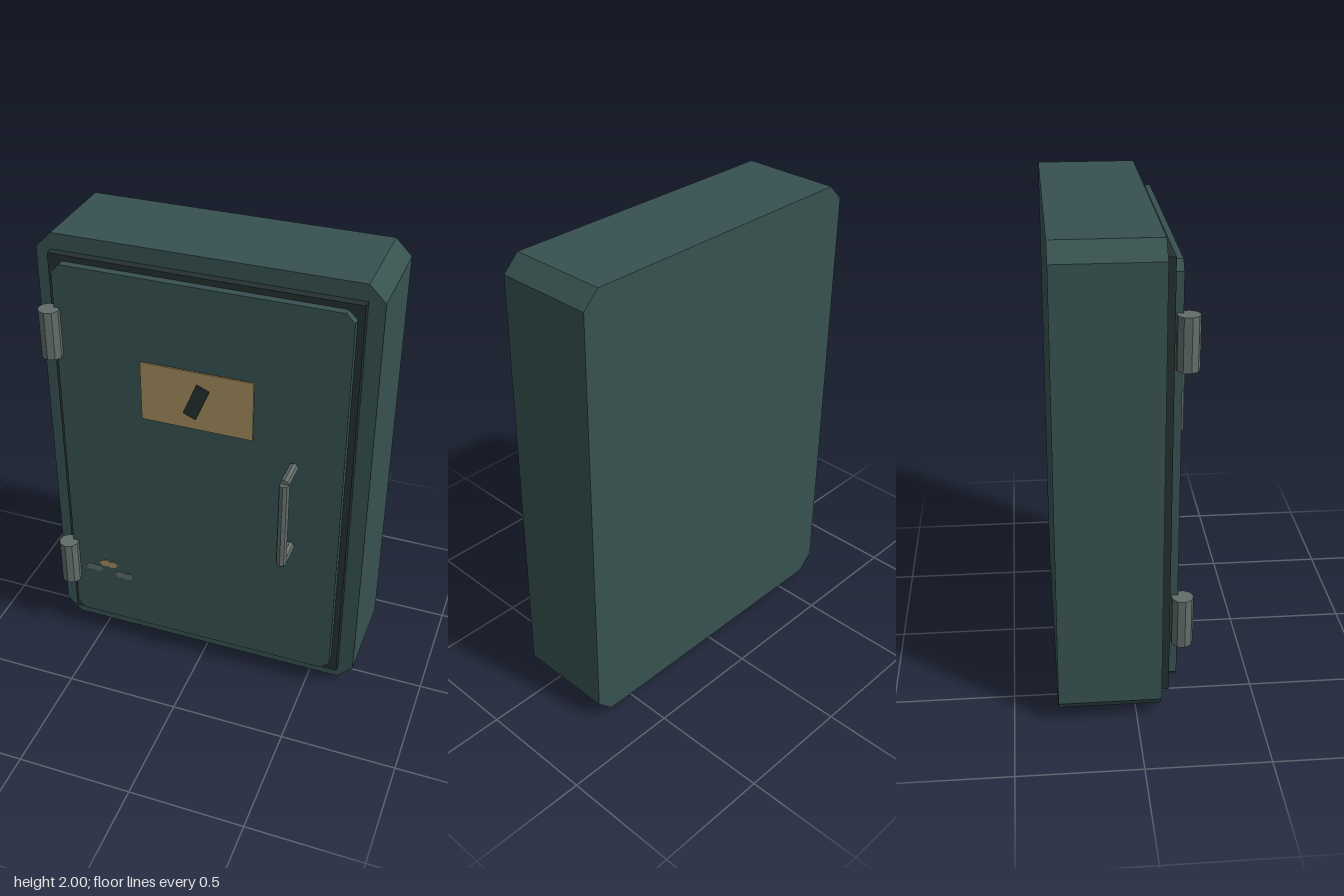
import * as THREE from 'three';

const mat = (name, color) => {
  const m = new THREE.MeshStandardMaterial({ color });
  m.name = name;
  m.flatShading = true;
  return m;
};

// Rectangle with cut corners, extruded from z0 to z1
function chamferedSlab(x, y0, y1, cut, z0, z1) {
  const shape = new THREE.Shape([
    [-x + cut, y0], [x - cut, y0], [x, y0 + cut], [x, y1 - cut],
    [x - cut, y1], [-x + cut, y1], [-x, y1 - cut], [-x, y0 + cut],
  ].map(p => new THREE.Vector2(...p)));
  return new THREE.ExtrudeGeometry(shape, { depth: z1 - z0, bevelEnabled: false }).translate(0, 0, z0);
}

export function createModel() {
  const group = new THREE.Group();
  const paint = mat('tealPaint', 0x375250);
  const dark = mat('darkRubber', 0x243030);
  const steel = mat('wornSteel', 0x626d6a);
  const brass = mat('brass', 0xa38d5d);

  const add = (name, geometry, material, x = 0, y = 0, z = 0) => {
    const mesh = new THREE.Mesh(geometry, material);
    mesh.name = name;
    mesh.position.set(x, y, z);
    group.add(mesh);
    return mesh;
  };

  // Cabinet, seal and door
  add('cabinetBody', chamferedSlab(0.703, 0.033, 2, 0.068, -0.32, 0.098), paint);
  add('doorSeal', new THREE.BoxGeometry(1.274, 1.83, 0.04), dark, 0, 1.015, 0.114);
  add('door', chamferedSlab(0.61, 0.13, 1.905, 0.036, 0.132, 0.167), paint);

  // Hinge barrels
  for (const y of [0.427, 1.608])
    add('hinge', new THREE.CylinderGeometry(0.045, 0.045, 0.212, 9), steel, -0.624, y, 0.184);

  // Pull handle: grip and two posts
  add('handleGrip', new THREE.CylinderGeometry(0.022, 0.022, 0.4, 8), steel, 0.407, 0.99, 0.297);
  for (const y of [0.79, 1.19])
    add('handlePost', new THREE.CylinderGeometry(0.02, 0.02, 0.124, 8).rotateX(Math.PI / 2), steel, 0.407, y, 0.237);

  // Name plate with a slanted mark
  add('plate', new THREE.BoxGeometry(0.475, 0.265, 0.008), brass, -0.002, 1.413, 0.179);
  add('plateMark', new THREE.BoxGeometry(0.058, 0.152, 0.007), dark, -0.002, 1.411, 0.1865).rotation.z = -0.39;

  // Chipped paint patches
  const chip = new THREE.Shape([
    [-0.044, -0.004], [-0.032, -0.017], [-0.004, -0.013], [0.012, -0.02],
    [0.034, -0.012], [0.044, 0.003], [0.03, 0.017], [0.006, 0.014], [-0.012, 0.02], [-0.034, 0.012],
  ].map(p => new THREE.Vector2(...p)));
  const chipGeometry = new THREE.ExtrudeGeometry(chip, { depth: 0.004, bevelEnabled: false });
  for (const [x, y, m] of [[-0.511, 0.398, steel], [-0.439, 0.435, brass], [-0.365, 0.387, steel]])
    add('paintChip', chipGeometry, m, x, y, 0.166);

  // Feet
  for (const x of [-0.395, 0.395])
    add('foot', new THREE.CylinderGeometry(0.082, 0.082, 0.04, 10).rotateY(Math.PI / 2), dark, x, 0.02, -0.115);

  return group;
}
